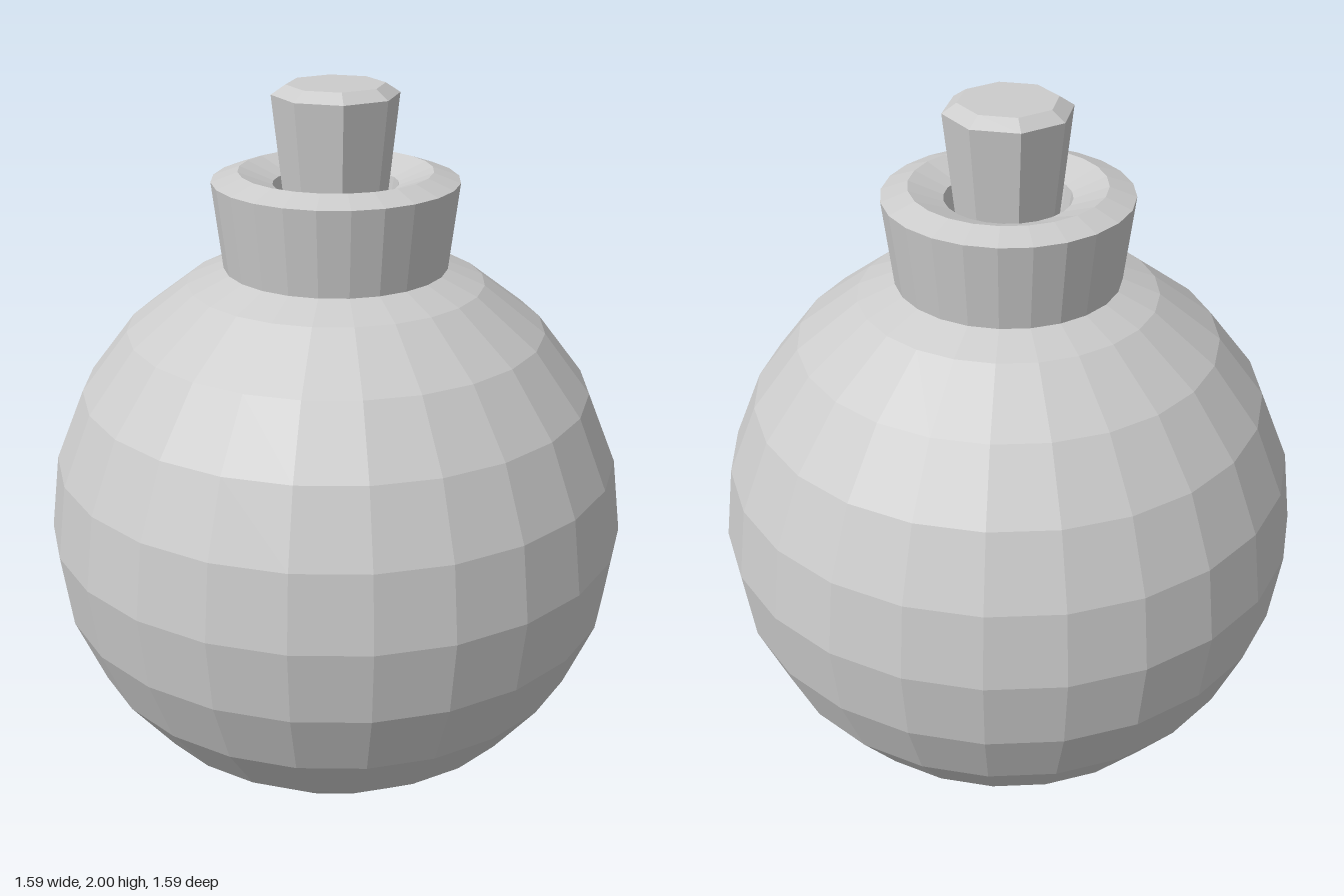
import * as THREE from 'three';

const material = new THREE.MeshStandardMaterial({ color: 0xcccccc, flatShading: true });

// Faceted solid of revolution from [radius, height] pairs
function turned(name, profile, sides) {
  const points = profile.map(([r, y]) => new THREE.Vector2(r, y));
  const mesh = new THREE.Mesh(new THREE.LatheGeometry(points, sides), material);
  mesh.name = name;
  return mesh;
}

export function createModel() {
  const group = new THREE.Group();
  group.name = 'roundBomb';

  // Round body: 12 bands of 24 facets
  const radius = 0.793, bands = 12, bodyProfile = [];
  for (let i = 0; i <= bands; i++) {
    const a = Math.PI * i / bands;
    bodyProfile.push([Math.max(0, radius * Math.sin(a)), 0.798 - radius * Math.cos(a)]);
  }
  group.add(turned('body', bodyProfile, 24));

  // Flared collar with bevelled rim and a shallow funnel around the fuse hole
  group.add(turned('collar', [
    [0.2, 1.52], [0.297, 1.52], [0.325, 1.755], [0.255, 1.78],
    [0.165, 1.745], [0.15, 1.66], [0, 1.66],
  ], 24));

  // Eight-sided fuse plug, widening to a bevelled top
  group.add(turned('fuse', [
    [0, 1.6], [0.125, 1.6], [0.166, 1.975], [0.128, 2], [0, 2],
  ], 8));

  return group;
}
